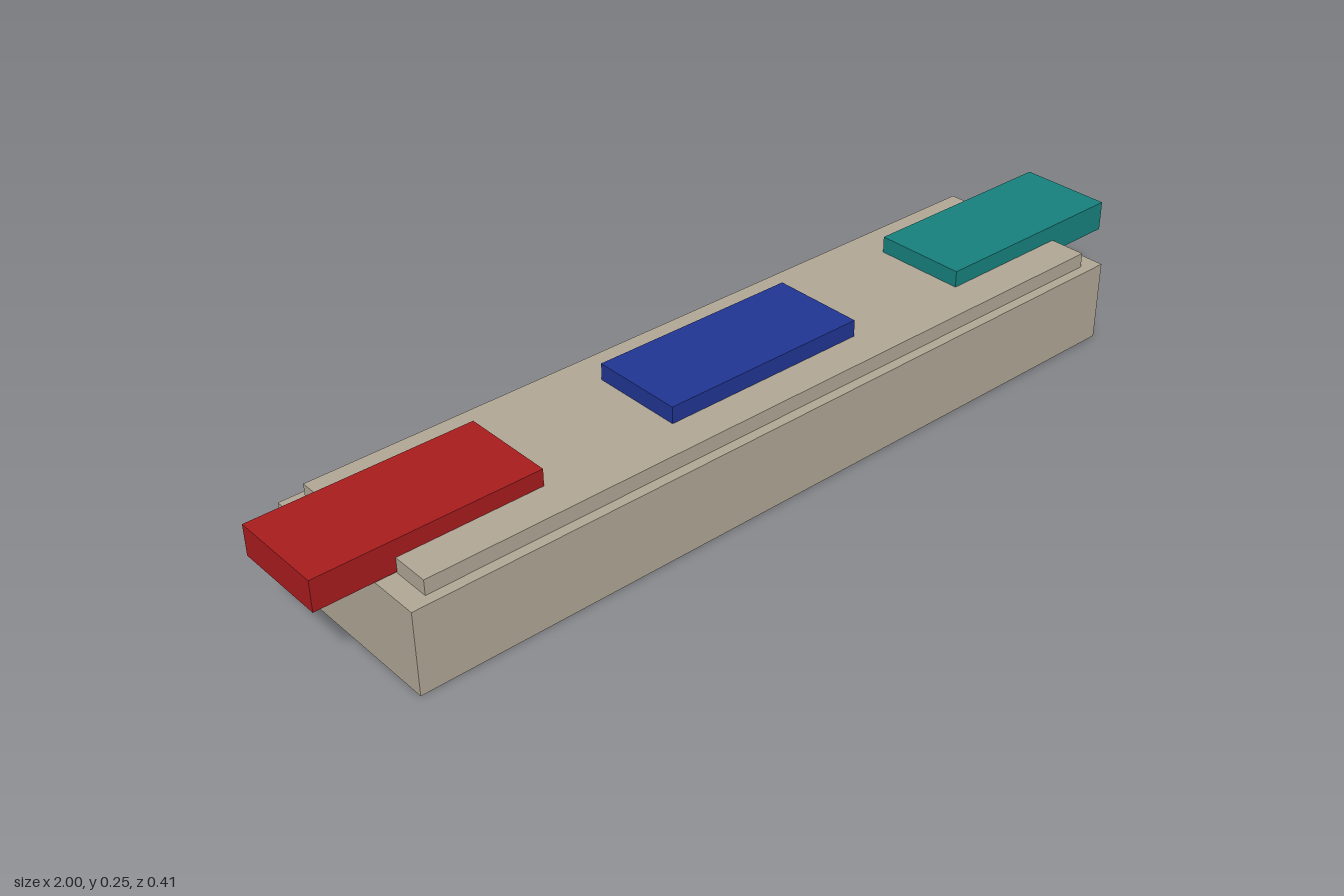
import * as THREE from 'three';

export function createModel() {
  const model = new THREE.Group();

  // Adds a box spanning y0 to y1, centred on z = 0
  function addBox(name, color, x, width, y0, y1, depth) {
    const mesh = new THREE.Mesh(
      new THREE.BoxGeometry(width, y1 - y0, depth),
      new THREE.MeshStandardMaterial({ color })
    );
    mesh.name = name;
    mesh.position.set(x, (y0 + y1) / 2, 0);
    model.add(mesh);
  }

  // Stepped plinth
  const stone = 0xb0a695;
  addBox('base', stone, 0, 1.76, 0, 0.177, 0.412);
  addBox('topSlab', stone, 0, 1.676, 0.177, 0.209, 0.368);

  // Coloured blocks sunk into the slab, the outer two overhanging the ends
  const blocks = [
    ['rightBlock', 0xa81c1e, -0.765],
    ['middleBlock', 0x203592, 0],
    ['leftBlock', 0x17807d, 0.765],
  ];
  for (const [name, color, x] of blocks) {
    addBox(name, color, x, 0.47, 0.18, 0.245, 0.206);
  }

  return model;
}
